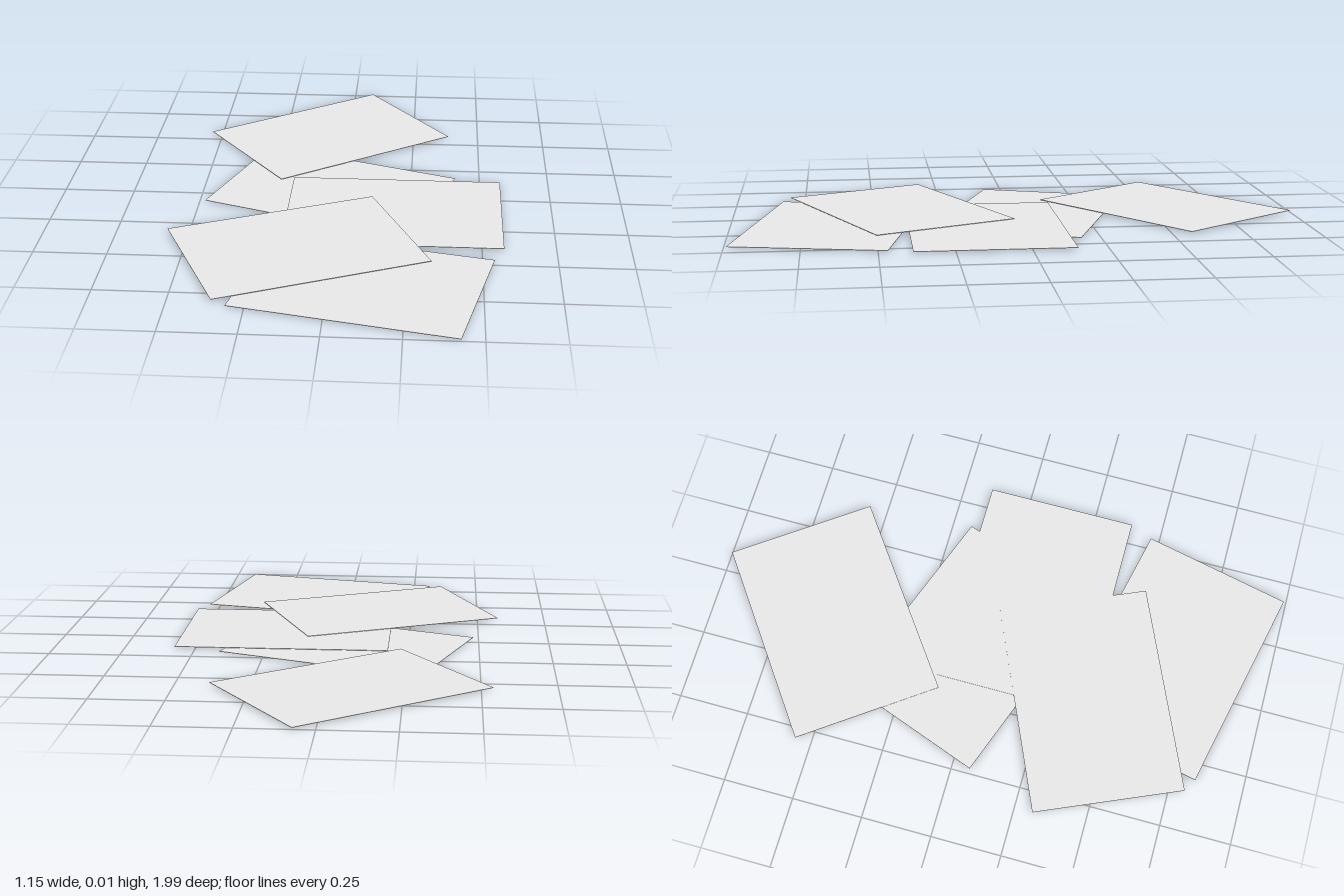
import * as THREE from 'three';

const LENGTH = 0.755, WIDTH = 0.536, THICK = 0.0015;

// Overlapping loose sheets, lowest first: [name, centre x, centre z, base y, long-side direction x, z]
const SHEETS = [
  ['middleSheet', -0.035, -0.06, 0, 0.94, 0.342],
  ['frontSheet', 0.115, 0.65, 0.002, 0.977, 0.213],
  ['leftSheet', 0.197, 0.12, 0.004, 1, 0],
  ['backSheet', -0.077, -0.563, 0.0055, 0.81, -0.586],
  ['topSheet', -0.122, 0.407, 0.0075, 0.914, -0.405],
];

export function createModel() {
  const group = new THREE.Group();
  group.name = 'scatteredPaperSheets';
  const paper = new THREE.MeshStandardMaterial({ color: 0xe7e7e7 });
  paper.name = 'paper';

  // One shared sheet shape resting on its base
  const geometry = new THREE.BoxGeometry(LENGTH, THICK, WIDTH);
  geometry.translate(0, THICK / 2, 0);

  for (const [name, x, z, y, dx, dz] of SHEETS) {
    const sheet = new THREE.Mesh(geometry, paper);
    sheet.name = name;
    sheet.position.set(x, y, z);
    sheet.rotation.y = Math.atan2(-dz, dx);
    group.add(sheet);
  }
  return group;
}
